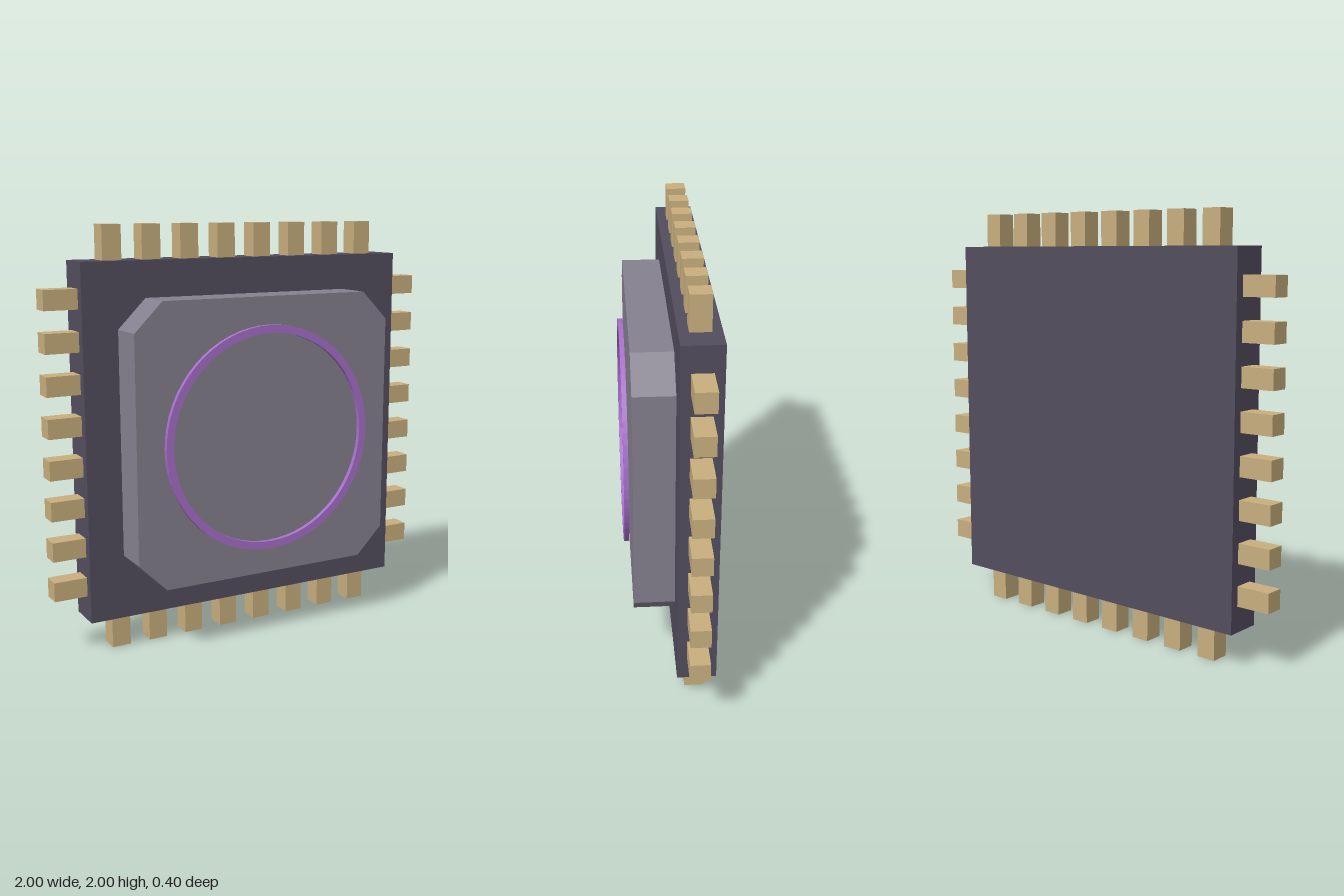
import * as THREE from 'three';

const material = (name, color) => {
  const m = new THREE.MeshStandardMaterial({ color });
  m.name = name;
  return m;
};

export function createModel() {
  const model = new THREE.Group();
  model.name = 'microchip';
  const darkCase = material('dark case', 0x524d5e);
  const greyLid = material('grey lid', 0x85808e);
  const brass = material('brass', 0xc8ae7e);
  const purple = material('purple', 0xa86fcb);

  const add = (parent, name, geometry, mat, x, y, z) => {
    const mesh = new THREE.Mesh(geometry, mat);
    mesh.name = name;
    mesh.position.set(x, y, z);
    parent.add(mesh);
    return mesh;
  };

  // Square case
  add(model, 'case', new THREE.BoxGeometry(1.68, 1.68, 0.18), darkCase, 0, 1, -0.11);

  // Raised lid with cut corners
  const h = 0.67, c = 0.533;
  const outline = new THREE.Shape([
    [c, -h], [h, -c], [h, c], [c, h], [-c, h], [-h, c], [-h, -c], [-c, -h],
  ].map(([x, y]) => new THREE.Vector2(x, y)));
  add(model, 'lid', new THREE.ExtrudeGeometry(outline, { depth: 0.185, bevelEnabled: false }),
    greyLid, 0, 1, -0.02);

  // Thin ring standing just clear of the lid
  const ring = new THREE.Shape().absarc(0, 0, 0.54, 0, Math.PI * 2);
  ring.holes.push(new THREE.Path().absarc(0, 0, 0.503, 0, Math.PI * 2, true));
  add(model, 'ring', new THREE.ExtrudeGeometry(ring, { depth: 0.022, bevelEnabled: false, curveSegments: 32 }),
    purple, 0, 1, 0.178);

  // Eight pins along each of the four sides
  const pin = new THREE.BoxGeometry(0.092, 0.16, 0.092);
  for (let side = 0; side < 4; side++) {
    const row = new THREE.Group();
    row.name = ['topPins', 'leftPins', 'bottomPins', 'rightPins'][side];
    row.position.set(0, 1, -0.11);
    row.rotation.z = -side * Math.PI / 2;
    for (let i = 0; i < 8; i++) add(row, 'pin', pin, brass, (i - 3.5) * 0.1925, 0.92, 0);
    model.add(row);
  }
  return model;
}
